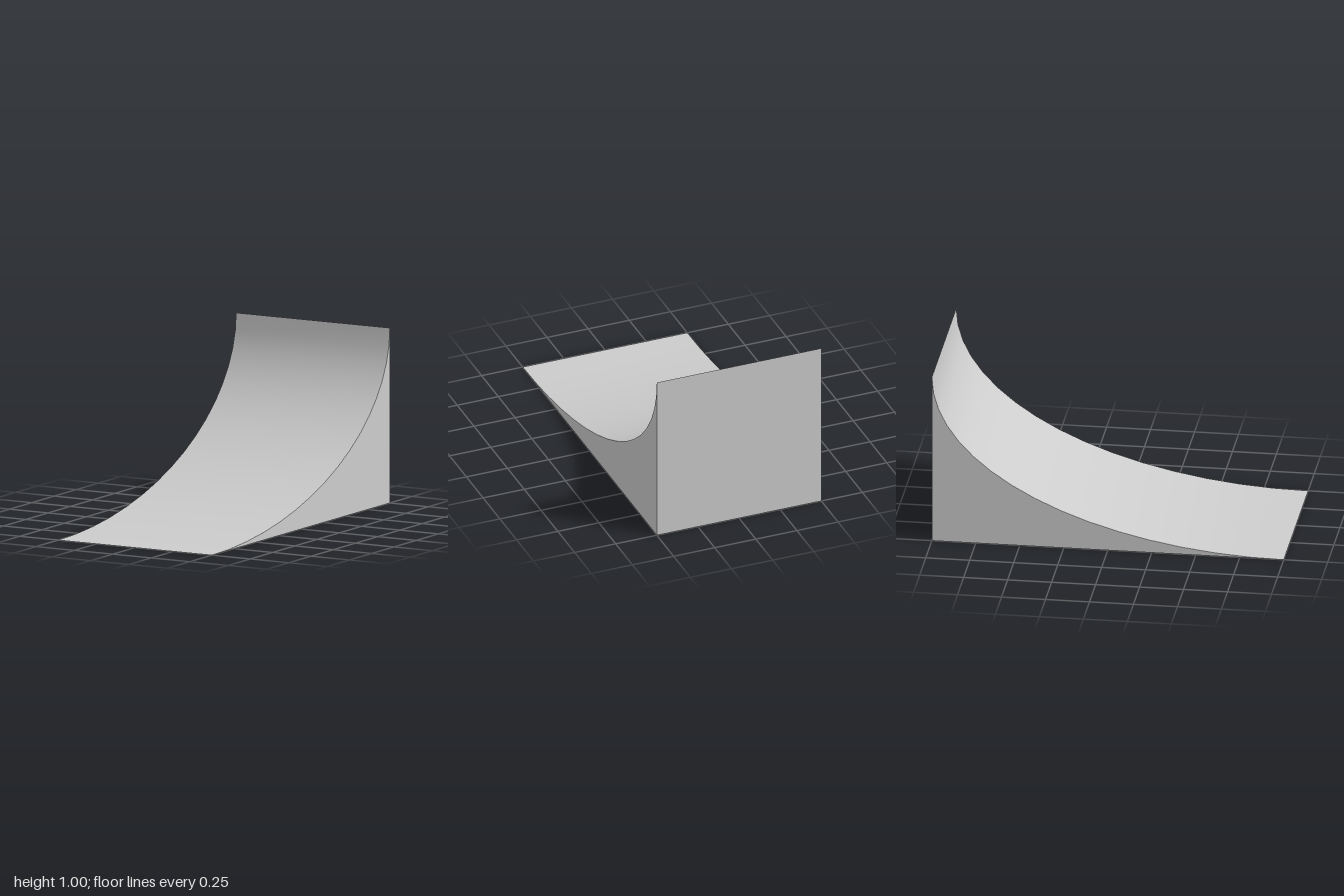
import * as THREE from 'three';
import { toCreasedNormals } from 'three/addons/utils/BufferGeometryUtils.js';

const WIDTH = 1, HEIGHT = 1, LENGTH = 2, SEGMENTS = 16;

export function createModel() {
  const group = new THREE.Group();
  group.name = 'curvedRamp';

  const grey = new THREE.MeshStandardMaterial({ color: 0xcccccc });
  grey.name = 'light grey';

  // Side profile: a quarter ellipse rising from the front edge to the back wall
  const profile = [new THREE.Vector2(-LENGTH / 2, 0)];
  for (let i = 0; i <= SEGMENTS; i++) {
    const a = (i / SEGMENTS) * Math.PI / 2;
    profile.push(new THREE.Vector2(LENGTH / 2 - LENGTH * Math.sin(a), HEIGHT * (1 - Math.cos(a))));
  }

  // Extrude across the width, then turn the profile's x axis onto z
  const solid = new THREE.ExtrudeGeometry(new THREE.Shape(profile), { depth: WIDTH, bevelEnabled: false });
  solid.translate(0, 0, -WIDTH / 2);
  solid.rotateY(-Math.PI / 2);

  // Smooth riding surface with sharp outer edges
  const ramp = new THREE.Mesh(toCreasedNormals(solid, 0.5), grey);
  ramp.name = 'ramp';
  group.add(ramp);

  return group;
}
